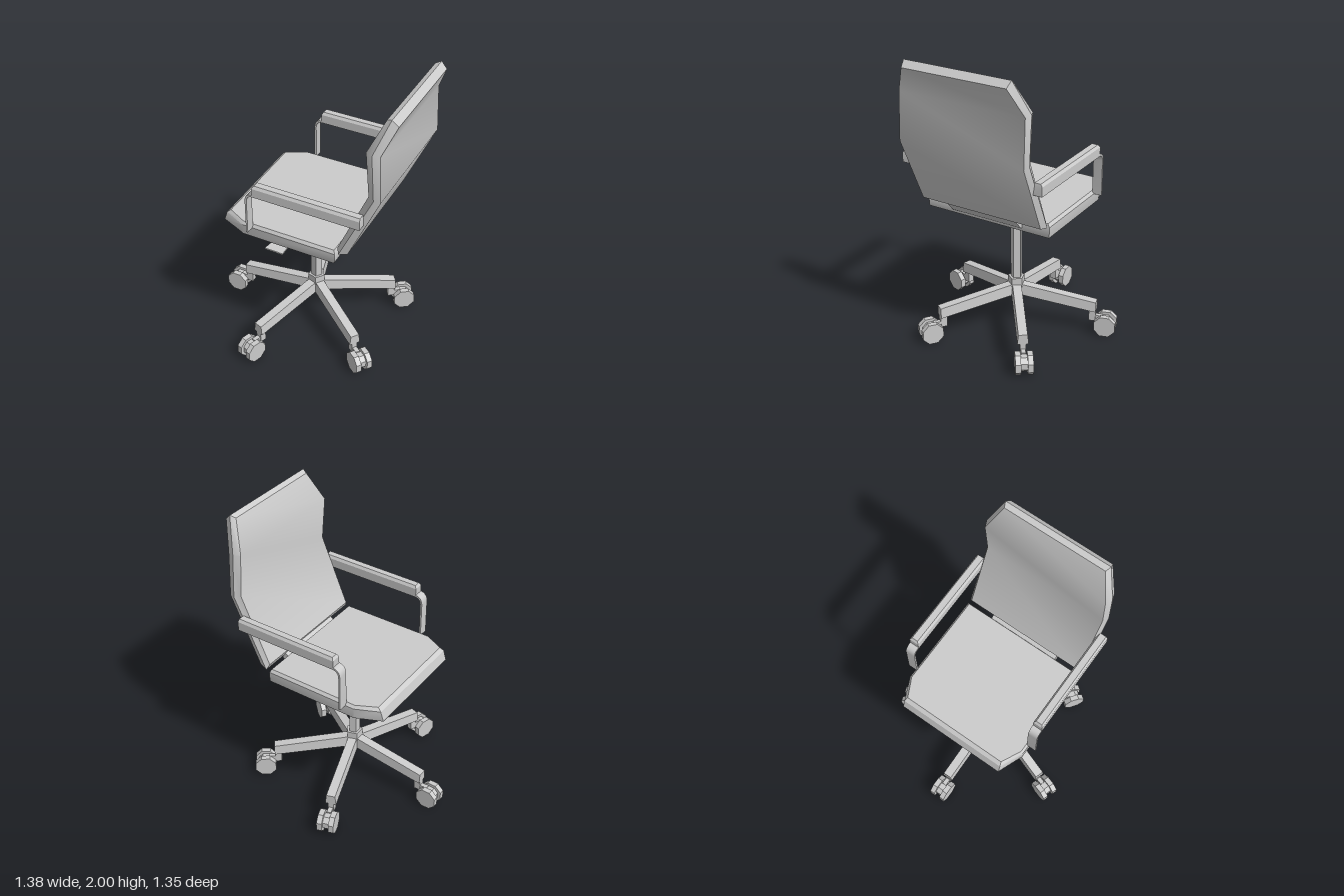
import * as THREE from 'three';
import { toCreasedNormals } from 'three/addons/utils/BufferGeometryUtils.js';

const material = new THREE.MeshStandardMaterial({ color: 0xcccccc });

function part(name, geometry, parent) {
  const mesh = new THREE.Mesh(toCreasedNormals(geometry, 0.56), material);
  mesh.name = name;
  parent.add(mesh);
  return mesh;
}

// Skin a row of rings (counter-clockwise seen from the last one) and cap both ends.
function loft(rings) {
  const n = rings[0].length, pos = [];
  const quad = (a, b, c, d) => pos.push(...a, ...b, ...c, ...a, ...c, ...d);
  for (let k = 0; k + 1 < rings.length; k++) {
    for (let i = 0; i < n; i++) {
      const j = (i + 1) % n;
      quad(rings[k][i], rings[k][j], rings[k + 1][j], rings[k + 1][i]);
    }
  }
  const first = rings[0], last = rings[rings.length - 1];
  for (let i = 0; i < n / 2 - 1; i++) {
    quad(last[i], last[i + 1], last[n - 2 - i], last[n - 1 - i]);
    quad(first[n - 1 - i], first[n - 2 - i], first[i + 1], first[i]);
  }
  const g = new THREE.BufferGeometry();
  g.setAttribute('position', new THREE.Float32BufferAttribute(pos, 3));
  return g;
}

// Extrude an outline in the xy plane, centred on z = 0.
function slab(shape, depth) {
  return new THREE.ExtrudeGeometry(shape, { depth, bevelEnabled: false, curveSegments: 5 })
    .translate(0, 0, -depth / 2);
}

// Five-sided post with a corner pointing to +x.
function post(rTop, rBottom, y0, y1) {
  return new THREE.CylinderGeometry(rTop, rBottom, y1 - y0, 5, 1, false, Math.PI / 2)
    .translate(0, (y0 + y1) / 2, 0);
}

function addSeat(root) {
  // Level: height, front x, back x, half width, half width of the front edge
  const rings = [
    [0.915, -0.47, 0.345, 0.445, 0.37],
    [0.925, -0.475, 0.35, 0.45, 0.38],
    [0.99, -0.455, 0.35, 0.45, 0.38],
    [1.01, -0.43, 0.34, 0.435, 0.37],
  ].map(([y, f, b, w, c]) => [
    [-0.3, y, w], [b, y, w], [b, y, -w], [-0.3, y, -w], [f, y, -c], [f, y, c],
  ]);
  part('seat', loft(rings), root);
}

function addBackrest(root) {
  // Front, middle and rear layers; each station is x, y, half width
  const layers = [
    [[0.36, 1.035, 0.43], [0.555, 1.49, 0.435], [0.53, 1.79, 0.435], [0.615, 1.985, 0.355]],
    [[0.375, 1.0, 0.45], [0.595, 1.48, 0.455], [0.575, 1.79, 0.455], [0.65, 2.0, 0.37]],
    [[0.43, 1.01, 0.435], [0.635, 1.47, 0.44], [0.62, 1.785, 0.44], [0.69, 1.96, 0.36]],
  ];
  const rings = layers.map((layer) => [
    ...layer.map(([x, y, w]) => [x, y, -w]),
    ...[...layer].reverse().map(([x, y, w]) => [x, y, w]),
  ]);
  part('backrest', loft(rings), root);

  const bracket = new THREE.Shape([
    [0.33, 0.94], [0.36, 0.94], [0.425, 1.01], [0.39, 1.03], [0.33, 0.99],
  ].map(([x, y]) => new THREE.Vector2(x, y)));
  part('backBracket', slab(bracket, 0.51), root);
}

function addArm(root, side) {
  const arm = new THREE.Group();
  arm.name = side > 0 ? 'leftArm' : 'rightArm';
  arm.position.z = side * 0.471;
  root.add(arm);

  const pad = [[1.28, 0], [1.342, 0], [1.36, 0.012]].map(([y, d]) => {
    const f = -0.19 + d, b = 0.535 - d * 0.3, w = 0.033 - d;
    return [[f, y, w], [b, y, w], [b, y, -w], [f, y, -w]];
  });
  part('armPad', loft(pad), arm);

  // Thin bent band holding up the front of the pad
  const band = new THREE.Shape();
  band.moveTo(-0.24, 0.99);
  band.lineTo(-0.24, 1.235);
  band.quadraticCurveTo(-0.24, 1.295, -0.18, 1.295);
  band.lineTo(-0.18, 1.28);
  band.quadraticCurveTo(-0.228, 1.28, -0.228, 1.235);
  band.lineTo(-0.228, 0.99);
  part('armSupport', slab(band, 0.066), arm);
}

function addLever(root) {
  const curve = new THREE.LineCurve3(
    new THREE.Vector3(0, 0.88, 0.03), new THREE.Vector3(-0.09, 0.828, 0.22));
  part('leverRod', new THREE.TubeGeometry(curve, 1, 0.007, 5), root);
  const paddle = [-0.005, 0.005].map((d) => [
    [-0.18, 0.792 + d, 0.385], [-0.05, 0.79 + d, 0.385],
    [-0.03, 0.833 + d, 0.215], [-0.12, 0.835 + d, 0.215],
  ]);
  part('leverPaddle', loft(paddle), root);
}

function addLeg(root, angle) {
  const leg = new THREE.Group();
  leg.name = 'baseLeg';
  leg.rotation.y = angle;
  root.add(leg);

  const beam = [[0, 0.24, 0.318], [-0.555, 0.168, 0.237]].map(([x, b, t]) => [
    [x, b, -0.037], [x, b, 0.037], [x, t, 0.03], [x, t, -0.03],
  ]);
  part('legBeam', loft(beam), leg);

  // Twin-wheel caster
  part('casterStem', new THREE.BoxGeometry(0.045, 0.1, 0.04).translate(-0.53, 0.142, 0), leg);
  part('casterFork', new THREE.BoxGeometry(0.09, 0.04, 0.03).translate(-0.555, 0.112, 0), leg);
  const wheel = (r, width, z) =>
    new THREE.CylinderGeometry(r, r, width, 8, 1, false, Math.PI / 8)
      .rotateX(Math.PI / 2).translate(-0.62, 0.073, z);
  part('casterAxle', wheel(0.055, 0.06, 0), leg);
  for (const s of [-1, 1]) part('casterWheel', wheel(0.077, 0.036, s * 0.04), leg);
}

export function createModel() {
  const root = new THREE.Group();
  root.name = 'officeChair';

  addSeat(root);
  addBackrest(root);
  for (const side of [-1, 1]) addArm(root, side);
  addLever(root);

  // Column and hub
  part('column', post(0.04, 0.04, 0.3, 0.87), root);
  part('columnFlare', post(0.08, 0.04, 0.86, 0.918), root);
  part('hubCollar', post(0.058, 0.058, 0.29, 0.36), root);
  part('hub', post(0.06, 0.04, 0.22, 0.3), root);

  for (let i = 0; i < 5; i++) addLeg(root, (i * Math.PI * 2) / 5);
  return root;
}
